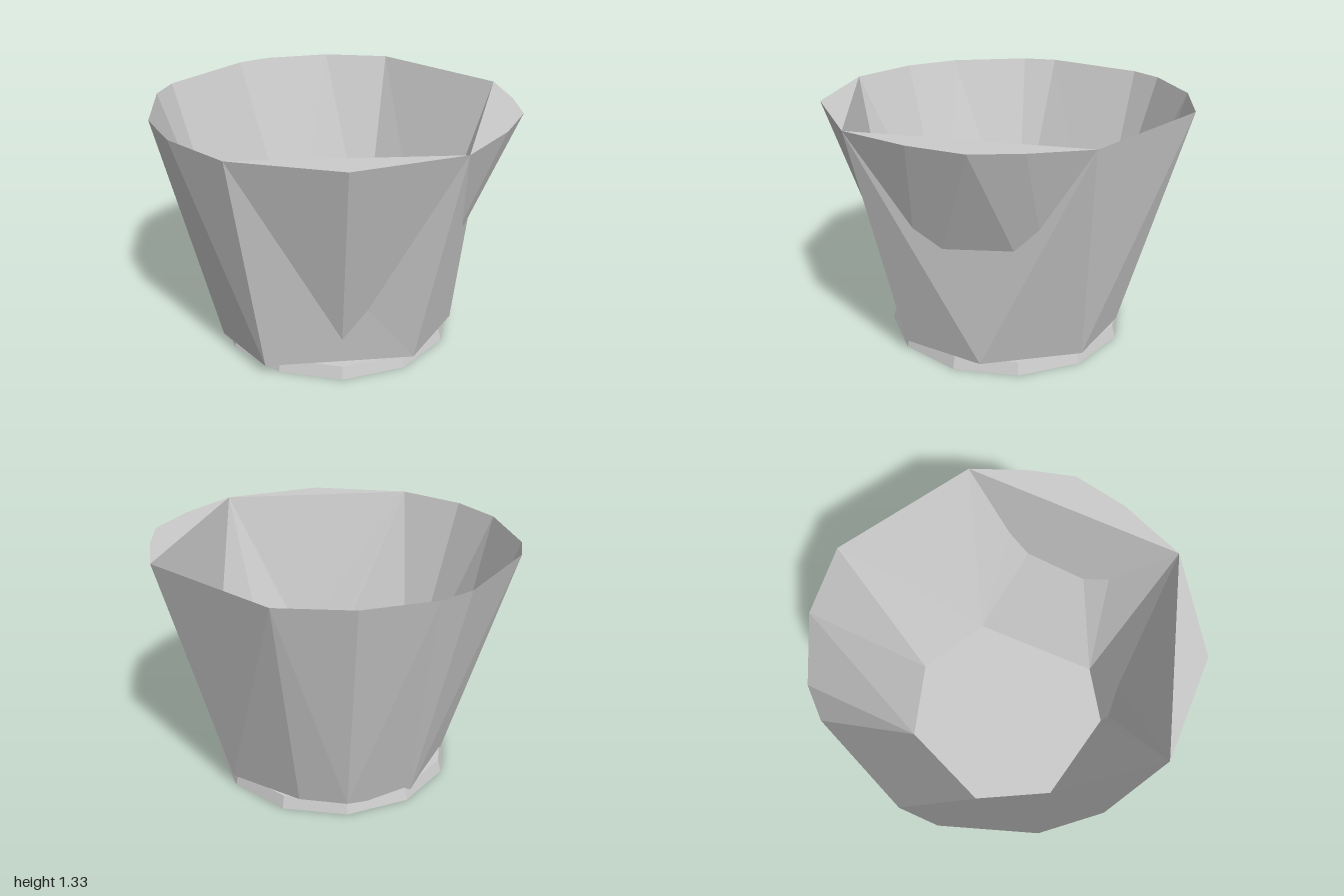
import * as THREE from 'three';

const H = 1.33, FLOOR = 0.12, FOOT = 0.07;
const angle = ([x, z]) => (Math.atan2(x, z) + Math.PI * 2 + 0.001) % (Math.PI * 2);

// Joins two [x, z] rings with different point counts, zipping them by angle;
// a bottom point may carry its own height as a third number
function loft(top, topY, bottom, bottomY, inward) {
  const a = [...top].sort((p, q) => angle(p) - angle(q));
  const b = [...bottom].sort((p, q) => angle(p) - angle(q));
  const at = (ring, i) => angle(ring[i % ring.length]) + Math.floor(i / ring.length) * Math.PI * 2;
  const T = i => [a[i % a.length][0], topY, a[i % a.length][1]];
  const B = j => {
    const [x, z, y = bottomY] = b[j % b.length];
    return [x, y, z];
  };
  const positions = [];
  const tri = (p, q, r) => positions.push(...p, ...(inward ? r : q), ...(inward ? q : r));
  let i = 0, j = 0;
  while (i < a.length || j < b.length) {
    const midTop = at(a, i) + at(a, i + 1), midBottom = at(b, j) + at(b, j + 1);
    if (j >= b.length || (i < a.length && midTop <= midBottom)) {
      tri(T(i), B(j), T(i + 1));
      i++;
    } else {
      tri(T(i), B(j), B(j + 1));
      j++;
    }
  }
  const g = new THREE.BufferGeometry();
  g.setAttribute('position', new THREE.Float32BufferAttribute(positions, 3));
  g.computeVertexNormals();
  return g;
}

// Flat horizontal polygon through [x, z] points
function plate(points, y) {
  const shape = new THREE.Shape(points.map(([x, z]) => new THREE.Vector2(x, -z)));
  return new THREE.ShapeGeometry(shape).rotateX(-Math.PI / 2).translate(0, y, 0);
}

export function createModel() {
  const group = new THREE.Group();
  const material = new THREE.MeshStandardMaterial({
    color: 0xcccccc, flatShading: true, side: THREE.DoubleSide,
  });
  const add = (name, geometry) => {
    const mesh = new THREE.Mesh(geometry, material);
    mesh.name = name;
    group.add(mesh);
    return mesh;
  };

  // Rim points shared by both walls
  const frontRight = [-0.55, 0.84], frontLeft = [0.56, 0.83], backLeft = [0.94, -0.32];
  const rim = [
    frontLeft, backLeft, [0.38, -0.93], [0, -1], [-0.38, -0.93], [-0.55, -0.83],
    [-0.92, -0.39], [-0.98, -0.2], [-0.96, 0.26], [-0.83, 0.55], frontRight,
  ];

  // Outer wall, with flat panels at the front and the left
  const foot = [
    [0.39, 0.59], [0.66, 0.2], [0.6, -0.35], [0.25, -0.61], [0, -0.68],
    [-0.36, -0.54, 0], [-0.62, -0.14, 0], [-0.66, 0.2, 0], [-0.41, 0.63],
  ];
  add('outerWall', loft(rim, H, foot, FOOT, false));

  // Inner wall, pushing through those panels near the rim
  const floorRing = [
    [0, 0.6], [0.34, 0.5], [0.56, -0.23], [0.23, -0.56],
    [-0.23, -0.56], [-0.59, -0.12], [-0.5, 0.33],
  ];
  const frontBulge = [[0, 1]], leftBulge = [[0.81, 0.53], [0.96, 0.26], [0.97, 0]];
  add('innerWall', loft([...rim, ...frontBulge, ...leftBulge], H, floorRing, FLOOR, true));

  // Flat lips bridging the walls where the inner one bulges out
  add('frontLip', plate([frontRight, ...frontBulge, frontLeft], H));
  add('leftLip', plate([frontLeft, ...leftBulge, backLeft], H));

  // Inside floor
  add('floor', plate(floorRing, FLOOR));

  // Low faceted foot
  const base = add('base', new THREE.CylinderGeometry(0.66, 0.68, FOOT, 12));
  base.position.y = FOOT / 2;
  return group;
}
